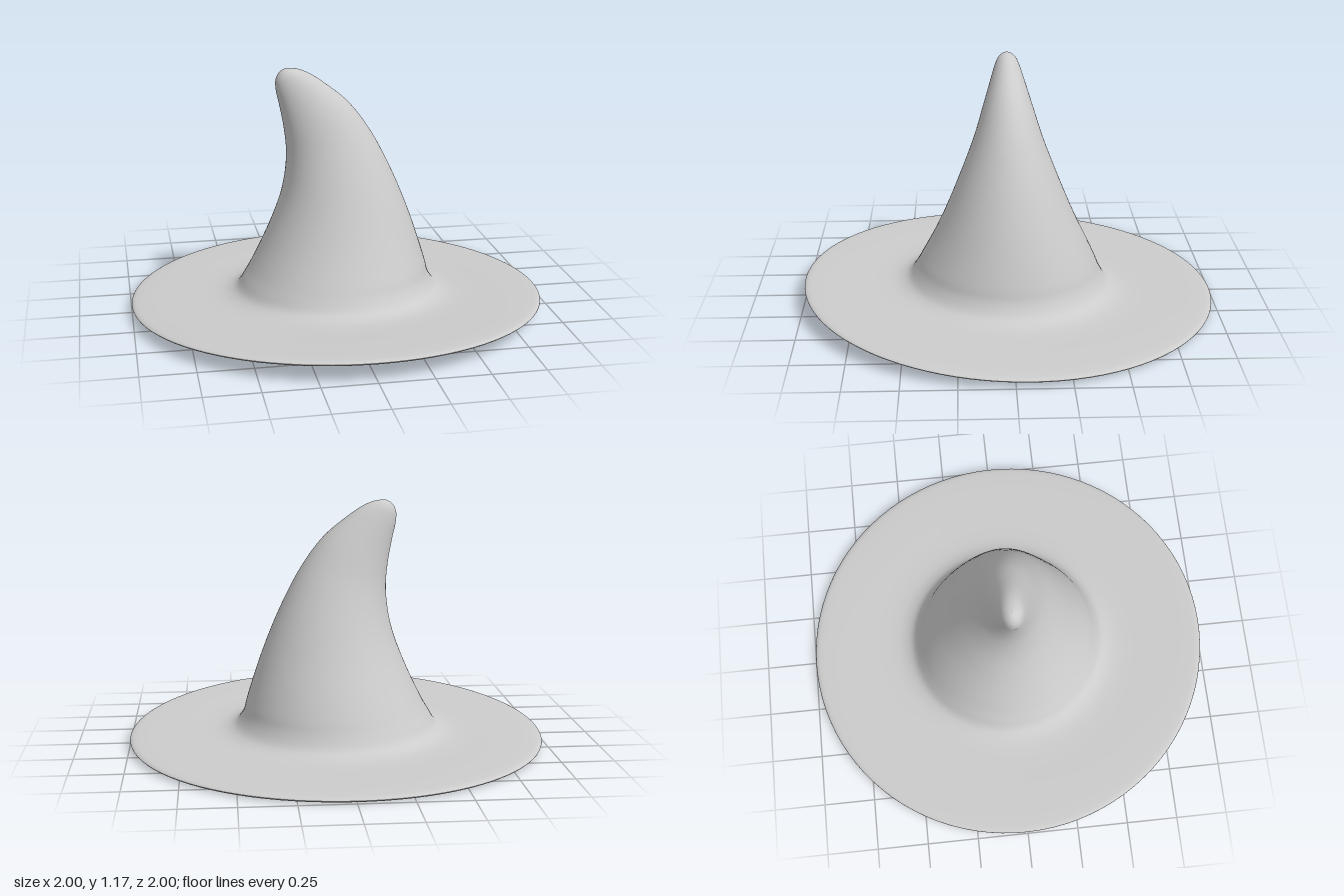
import * as THREE from 'three';

// Crown stations, tip to base: left x, left y, right x, right y, half depth
const CROWN = [
  [-0.24, 1.172, -0.24, 1.172, 0],
  [-0.268, 1.155, -0.208, 1.171, 0.025],
  [-0.287, 1.12, -0.17, 1.163, 0.046],
  [-0.287, 1.07, -0.12, 1.14, 0.063],
  [-0.272, 1.0, -0.05, 1.092, 0.084],
  [-0.25, 0.88, 0.06, 1.0, 0.12],
  [-0.24, 0.75, 0.165, 0.86, 0.165],
  [-0.262, 0.58, 0.27, 0.66, 0.238],
  [-0.325, 0.4, 0.36, 0.44, 0.322],
  [-0.42, 0.2, 0.435, 0.21, 0.425],
];
// Round brim profile, from the crown base over the rim to the opening: radius, y
const BRIM = [
  [0.452, 0.145], [0.486, 0.092], [0.53, 0.068], [0.6, 0.057], [0.8, 0.054],
  [0.96, 0.049], [0.99, 0.044], [1, 0.036], [0.99, 0.028], [0.96, 0.024],
  [0.8, 0.024], [0.6, 0.028], [0.52, 0.04], [0.46, 0.07], [0.42, 0.14],
];
const WALL = 0.03;

// Skins rings over the stations; each ring spans its left and right point
function skin(stations, sides, steps) {
  const curve = (f) => new THREE.CatmullRomCurve3(stations.map(f));
  const left = curve((s) => new THREE.Vector3(s[0], s[1], s[4]));
  const right = curve((s) => new THREE.Vector3(s[2], s[3], s[4]));
  const rows = (stations.length - 1) * steps;
  const pos = [], index = [];
  for (let j = 0; j <= rows; j++) {
    const l = left.getPoint(j / rows), r = right.getPoint(j / rows);
    for (let i = 0; i < sides; i++) {
      const a = (i / sides) * Math.PI * 2, c = Math.cos(a);
      const x = (l.x + r.x) / 2 + ((r.x - l.x) / 2) * c;
      const y = (l.y + r.y) / 2 + ((r.y - l.y) / 2) * c;
      const z = Math.max(0, l.z) * Math.sin(a);
      // The brim lifts at the front and dips at the back
      const fade = 1 - THREE.MathUtils.smoothstep(y, 0.08, 0.35);
      pos.push(x, y + fade * (0.04 * z + 0.018 * z * z), z);
      if (j < rows) {
        const n = (i + 1) % sides;
        const p = j * sides + i, q = j * sides + n;
        index.push(p, q, p + sides, q, q + sides, p + sides);
      }
    }
  }
  const geo = new THREE.BufferGeometry();
  geo.setAttribute('position', new THREE.Float32BufferAttribute(pos, 3));
  geo.setIndex(index);
  geo.computeVertexNormals();
  return geo;
}

export function createModel() {
  const group = new THREE.Group();
  group.name = 'pointedHat';

  const brim = BRIM.map(([r, y]) => [-r, y, r, y, r]);
  // Hollow inside follows the crown, inset by the wall thickness
  const lining = CROWN.slice(4).reverse().map(([lx, ly, rx, ry, d]) =>
    [lx + WALL, ly, rx - WALL, ry - WALL / 2, d - WALL]);
  const innerTip = [-0.185, 1.085, -0.185, 1.085, 0];

  const hat = new THREE.Mesh(
    skin([...CROWN, ...brim, ...lining, innerTip], 96, 4),
    new THREE.MeshStandardMaterial({ color: 0xcccccc })
  );
  hat.name = 'hatShell';
  group.add(hat);
  return group;
}
